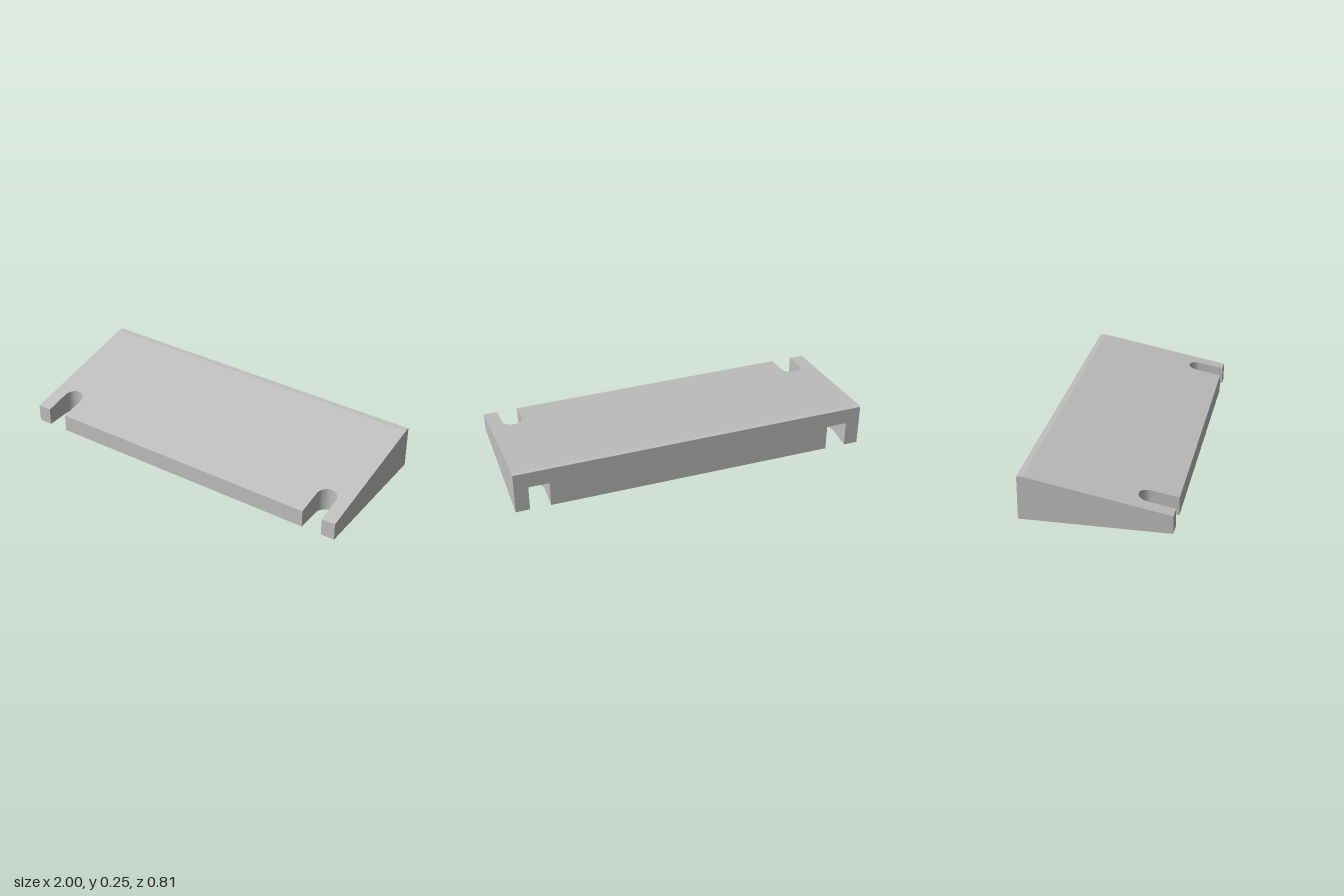
import * as THREE from 'three';
import { toCreasedNormals } from 'three/addons/utils/BufferGeometryUtils.js';

const D = 0.403;          // half depth
const CREASE = -0.373;    // z where the slope meets the flat rear lip
const FRONT_H = 0.101, TOP_H = 0.245, POCKET_H = 0.15;
const SLOT_X = 0.863, SLOT_R = 0.058, SLOT_DEPTH = 0.203;

// Height of the deck at a given z
const deckHeight = (z) =>
  Math.min(TOP_H, FRONT_H + ((TOP_H - FRONT_H) * (D - z)) / (D - CREASE));

// Round-ended slot cut into the front edge, as [x, z] points
function slot(cx) {
  const pts = [[cx - SLOT_R, D]];
  const zc = D - SLOT_DEPTH + SLOT_R;
  for (let i = 0; i <= 20; i++) {
    const a = Math.PI * (1 - i / 20);
    pts.push([cx + SLOT_R * Math.cos(a), zc - SLOT_R * Math.sin(a)]);
  }
  pts.push([cx + SLOT_R, D]);
  return pts;
}
const turn = (pts) => pts.map(([x, z]) => [-x, -z]);

// Horizontal or sloped face filling an outline
function cap(pts, height, facingDown = false) {
  const shape = new THREE.Shape(pts.map(([x, z]) => new THREE.Vector2(x, -z)));
  const g = new THREE.ShapeGeometry(shape).rotateX(-Math.PI / 2);
  const p = g.attributes.position;
  for (let i = 0; i < p.count; i++) p.setY(i, height(p.getZ(i)));
  if (facingDown) g.setIndex(Array.from(g.index.array).reverse());
  g.computeVertexNormals();
  return g;
}

// Upright wall following a path, from height lo to height hi
function wall(path, lo, hi) {
  const v = [];
  for (let i = 0; i < path.length - 1; i++) {
    const [ax, az] = path[i], [bx, bz] = path[i + 1];
    const a0 = [ax, lo(az), az], a1 = [ax, hi(az), az];
    const b0 = [bx, lo(bz), bz], b1 = [bx, hi(bz), bz];
    v.push(...a0, ...b0, ...b1, ...a0, ...b1, ...a1);
  }
  const g = new THREE.BufferGeometry();
  g.setAttribute('position', new THREE.Float32BufferAttribute(v, 3));
  return toCreasedNormals(g, 0.6);
}

export function createModel() {
  const group = new THREE.Group();
  const grey = new THREE.MeshStandardMaterial({ color: 0xbfbfbf });
  grey.name = 'plainGrey';
  const add = (name, geometry) => {
    const mesh = new THREE.Mesh(geometry, grey);
    mesh.name = name;
    group.add(mesh);
  };

  const ground = () => 0, top = () => TOP_H, pocket = () => POCKET_H;
  const frontEdge = [[-1, D], ...slot(-SLOT_X), ...slot(SLOT_X), [1, D]];
  const rearEdge = turn(frontEdge);

  // Sloping deck, flat rear lip and underside
  add('slopedDeck', cap([...frontEdge, [1, CREASE], [-1, CREASE]], deckHeight));
  add('rearLip', cap([[-1, CREASE], [1, CREASE], [1, -D], [-1, -D]], top));
  add('underside', cap([...frontEdge, ...rearEdge], ground, true));

  // Front and side walls, including the open front slots
  add('frontAndSideWalls', wall(
    [[-1, -D], [-1, CREASE], ...frontEdge, [1, CREASE], [1, -D]], ground, deckHeight));

  // Rear wall: solid band above the pockets, notched band below
  add('rearUpperWall', wall([[1, -D], [-1, -D]], pocket, top));
  add('rearLowerWall', wall(rearEdge, ground, pocket));

  // Closed ceilings of the two rear pockets
  for (const side of [-1, 1]) {
    add(side < 0 ? 'rightPocketCeiling' : 'leftPocketCeiling',
      cap(turn(slot(-side * SLOT_X)), pocket, true));
  }
  return group;
}
